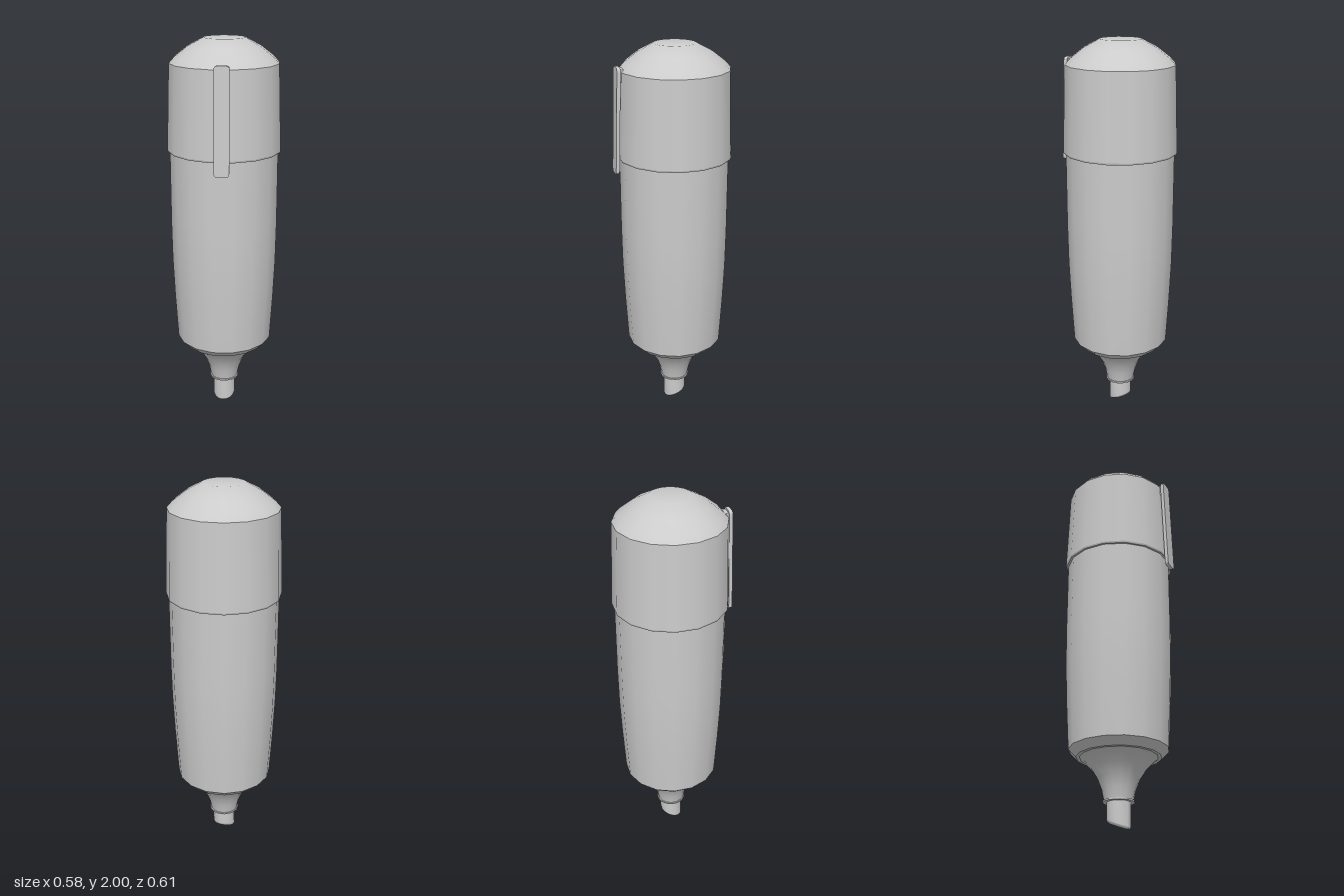
import * as THREE from 'three';

const SIDES = 16;
const AXIS_Z = -0.013;
const material = new THREE.MeshStandardMaterial({ color: 0xcccccc, side: THREE.DoubleSide });

// Turned part: each run of [radius, y] is smooth, with a sharp edge between runs
function turned(name, runs) {
  const group = new THREE.Group();
  group.name = name;
  runs.forEach((run, i) => {
    const points = run.map(([r, y]) => new THREE.Vector2(r, y));
    const mesh = new THREE.Mesh(new THREE.LatheGeometry(points, SIDES), material);
    mesh.name = `${name}Surface${i + 1}`;
    group.add(mesh);
  });
  return group;
}

// Upright strip with rounded corners, its back on z = 0
function strip(name, width, height, depth, radius) {
  const w = width / 2, h = height / 2, r = radius;
  const s = new THREE.Shape();
  s.moveTo(-w + r, -h);
  s.lineTo(w - r, -h);
  s.quadraticCurveTo(w, -h, w, -h + r);
  s.lineTo(w, h - r);
  s.quadraticCurveTo(w, h, w - r, h);
  s.lineTo(-w + r, h);
  s.quadraticCurveTo(-w, h, -w, h - r);
  s.lineTo(-w, -h + r);
  s.quadraticCurveTo(-w, -h, -w + r, -h);
  const geometry = new THREE.ExtrudeGeometry(s, { depth, bevelEnabled: false, curveSegments: 4 });
  const mesh = new THREE.Mesh(geometry, material);
  mesh.name = name;
  return mesh;
}

// Chisel tip: a rounded plug whose lower end is slanted, lowest at the front
function chiselTip() {
  const tip = turned('chiselTip', [
    [[0, 0.023], [0.047, 0.023], [0.057, 0.028], [0.06, 0.038]],
    [[0.06, 0.038], [0.06, 0.16]],
  ]);
  for (const mesh of tip.children) {
    const p = mesh.geometry.attributes.position;
    for (let i = 0; i < p.count; i++) {
      if (p.getY(i) < 0.1) p.setY(i, p.getY(i) - p.getZ(i) * 0.4);
    }
    mesh.geometry.computeVertexNormals();
  }
  return tip;
}

export function createModel() {
  const model = new THREE.Group();
  model.name = 'highlighter';

  const pen = new THREE.Group();
  pen.name = 'pen';
  pen.position.z = AXIS_Z;
  model.add(pen);

  // Barrel with a chamfered lower end
  pen.add(turned('barrel', [
    [[0.19, 0.362], [0.215, 0.362]],
    [[0.215, 0.362], [0.253, 0.4]],
    [[0.253, 0.4], [0.267, 0.64], [0.276, 0.85], [0.279, 1.05], [0.279, 1.45]],
  ]));

  // Flared nozzle ending in a small collar
  pen.add(turned('nozzle', [
    [[0, 0.138], [0.079, 0.138]],
    [[0.079, 0.138], [0.079, 0.146]],
    [[0.079, 0.146], [0.073, 0.146]],
    [[0.073, 0.146], [0.084, 0.2], [0.105, 0.255], [0.14, 0.31], [0.174, 0.345], [0.2, 0.364]],
  ]));

  pen.add(chiselTip());

  // Tapered cap with a thin lip and a domed end
  pen.add(turned('cap', [
    [[0.27, 1.436], [0.289, 1.436]],
    [[0.289, 1.436], [0.292, 1.445]],
    [[0.292, 1.445], [0.277, 1.878]],
    [[0.277, 1.878], [0.25, 1.908], [0.185, 1.958], [0.105, 2], [0, 2]],
  ]));

  // Pocket clip, centred on the first facet and following the cap's taper
  const clip = new THREE.Group();
  clip.name = 'clip';
  clip.rotation.y = Math.PI / SIDES;
  const arm = strip('clipArm', 0.075, 0.53, 0.018, 0.02);
  arm.position.set(0, 1.635, 0.288);
  arm.rotation.x = -0.034;
  const mount = strip('clipMount', 0.055, 0.06, 0.03, 0.004);
  mount.position.set(0, 1.86, 0.26);
  clip.add(arm, mount);
  pen.add(clip);

  return model;
}
